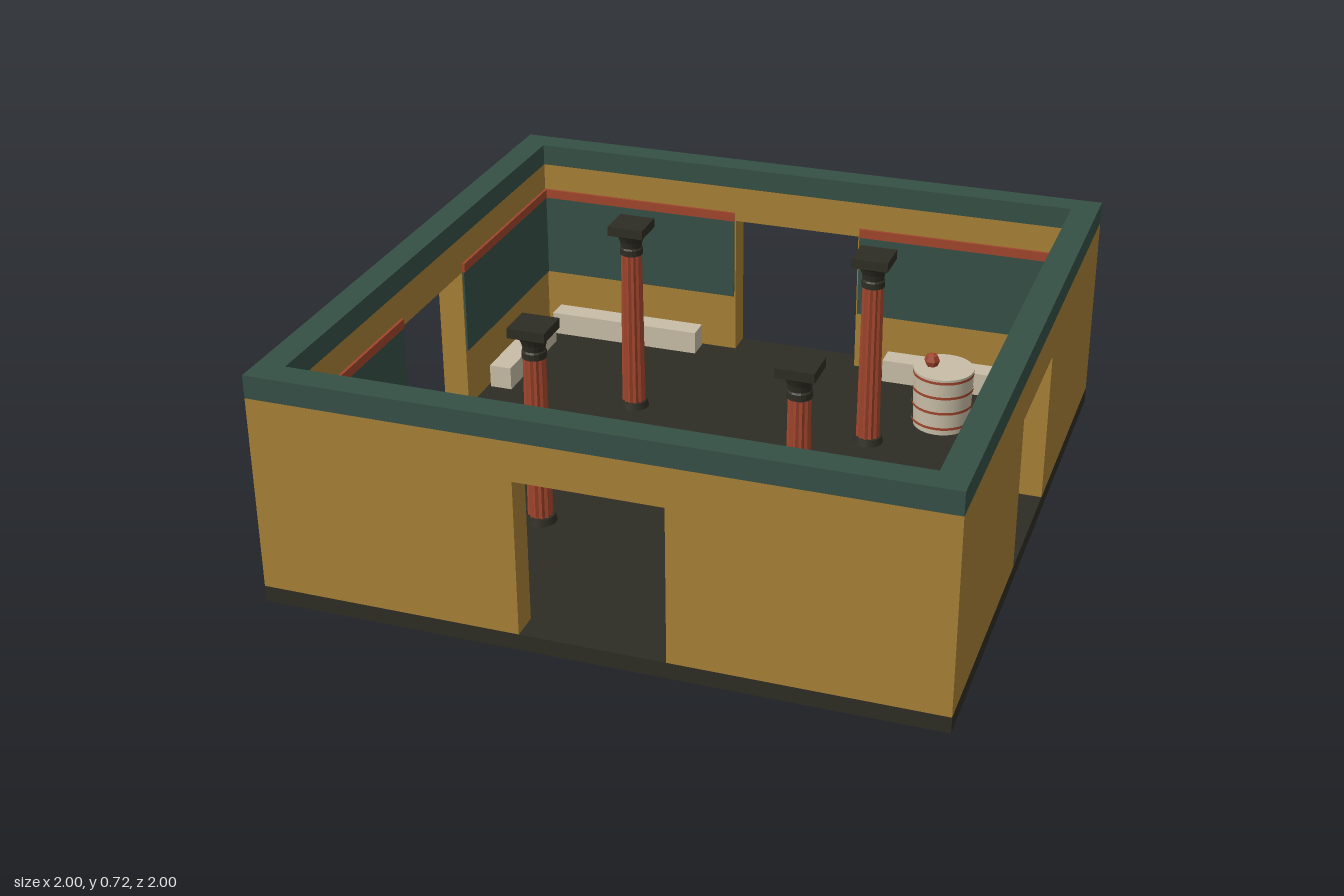
import * as THREE from 'three';

const mat = (name, color, extra = {}) => {
  const m = new THREE.MeshStandardMaterial({ color, ...extra });
  m.name = name;
  return m;
};

export function createModel() {
  const ochre = mat('ochre plaster', 0xa88036);
  const teal = mat('dark teal', 0x365046);
  const dark = mat('dark stone', 0x2e2d24);
  const cream = mat('cream stone', 0xc8bda6);
  const red = mat('terracotta red', 0xa0452c);

  const root = new THREE.Group();
  root.name = 'courtyardHall';

  const add = (parent, name, geometry, material, x = 0, y = 0, z = 0) => {
    const mesh = new THREE.Mesh(geometry, material);
    mesh.name = name;
    mesh.position.set(x, y, z);
    parent.add(mesh);
    return mesh;
  };
  // Box given by its extents along each axis
  const box = (parent, name, material, x0, x1, y0, y1, z0, z1) =>
    add(parent, name, new THREE.BoxGeometry(x1 - x0, y1 - y0, z1 - z0), material,
      (x0 + x1) / 2, (y0 + y1) / 2, (z0 + z1) / 2);

  const FLOOR = 0.05, WALL_TOP = 0.65, TOP = 0.72, INNER = 0.915, DOOR = 0.215, LINTEL = 0.53;

  box(root, 'floorSlab', dark, -1, 1, 0, FLOOR, -1, 1);

  // One wall outline with a doorway; four of them interlock at the corners
  const outline = new THREE.Shape([
    [-1, FLOOR], [-DOOR, FLOOR], [-DOOR, LINTEL], [DOOR, LINTEL],
    [DOOR, FLOOR], [INNER, FLOOR], [INNER, WALL_TOP], [-1, WALL_TOP],
  ].map(([x, y]) => new THREE.Vector2(x, y)));
  const wallGeo = new THREE.ExtrudeGeometry(outline, { depth: 1 - INNER, bevelEnabled: false });

  ['front', 'left', 'back', 'right'].forEach((side, i) => {
    const g = new THREE.Group();
    g.name = side + 'Side';
    g.rotation.y = i * Math.PI / 2;
    root.add(g);
    add(g, 'wall', wallGeo, ochre, 0, 0, INNER);
    box(g, 'cornice', teal, -1, INNER, WALL_TOP, TOP, INNER, 1);
    // Painted panels, stripes and benches on both sides of the doorway
    const [b0, b1] = i % 2 ? [0.37, 0.77] : [0.335, 0.865];
    for (const s of [-1, 1]) {
      const span = (a, b) => (s > 0 ? [a, b] : [-b, -a]);
      box(g, 'wallPanel', teal, ...span(0.22, INNER), 0.25, 0.53, 0.909, INNER);
      box(g, 'wallStripe', red, ...span(0.22, INNER), 0.53, 0.56, 0.906, INNER);
      box(g, 'bench', cream, ...span(b0, b1), FLOOR, 0.128, 0.83, 0.905);
    }
  });

  // Fluted column shaft: every other vertex is pulled inward
  const flutes = 12;
  const shaftGeo = new THREE.CylinderGeometry(0.034, 0.039, 0.55, flutes * 2, 1).toNonIndexed();
  const p = shaftGeo.attributes.position;
  for (let i = 0; i < p.count; i++) {
    const a = Math.atan2(p.getZ(i), p.getX(i));
    const k = Math.cos(a * flutes) > 0 ? 1 : 0.87;
    p.setX(i, p.getX(i) * k);
    p.setZ(i, p.getZ(i) * k);
  }
  shaftGeo.computeVertexNormals();

  const capitalGeo = new THREE.LatheGeometry([
    [0, 0.595], [0.037, 0.595], [0.037, 0.615], [0.033, 0.62],
    [0.037, 0.64], [0.046, 0.66], [0.055, 0.672], [0, 0.672],
  ].map(([r, y]) => new THREE.Vector2(r, y)), 16).toNonIndexed();
  capitalGeo.computeVertexNormals();

  for (const x of [-0.4, 0.4]) for (const z of [-0.4, 0.4]) {
    const column = new THREE.Group();
    column.name = 'column';
    column.position.set(x, 0, z);
    root.add(column);
    add(column, 'columnBase', new THREE.CylinderGeometry(0.044, 0.05, 0.022, 20), dark, 0, FLOOR + 0.011, 0);
    add(column, 'columnShaft', shaftGeo, red, 0, 0.335, 0);
    add(column, 'columnCapital', capitalGeo, dark);
    box(column, 'columnAbacus', dark, -0.058, 0.058, 0.67, 0.7, -0.058, 0.058);
  }

  // Banded round vessel with a small knob
  const vessel = new THREE.Group();
  vessel.name = 'bandedVessel';
  vessel.position.set(0.595, 0, -0.6);
  root.add(vessel);
  add(vessel, 'vesselBody', new THREE.CylinderGeometry(0.098, 0.092, 0.2, 32), cream, 0, 0.15, 0);
  for (const y of [0.075, 0.13, 0.185, 0.238])
    add(vessel, 'vesselBand', new THREE.CylinderGeometry(0.099, 0.099, 0.009, 32, 1, true), red, 0, y, 0);
  const knobGeo = new THREE.SphereGeometry(0.026, 6, 4).toNonIndexed();
  knobGeo.computeVertexNormals();
  add(vessel, 'vesselKnob', knobGeo, red, -0.04, 0.27, 0);

  // Two four-legged stools near the front
  for (const x of [-0.535, 0.53]) {
    const stool = new THREE.Group();
    stool.name = 'stool';
    stool.position.set(x, 0, 0.565);
    root.add(stool);
    box(stool, 'stoolSeat', teal, -0.048, 0.048, 0.135, 0.155, -0.048, 0.048);
    for (const sx of [-0.038, 0.038]) for (const sz of [-0.038, 0.038])
      box(stool, 'stoolLeg', teal, sx - 0.008, sx + 0.008, FLOOR, 0.135, sz - 0.008, sz + 0.008);
  }

  return root;
}
